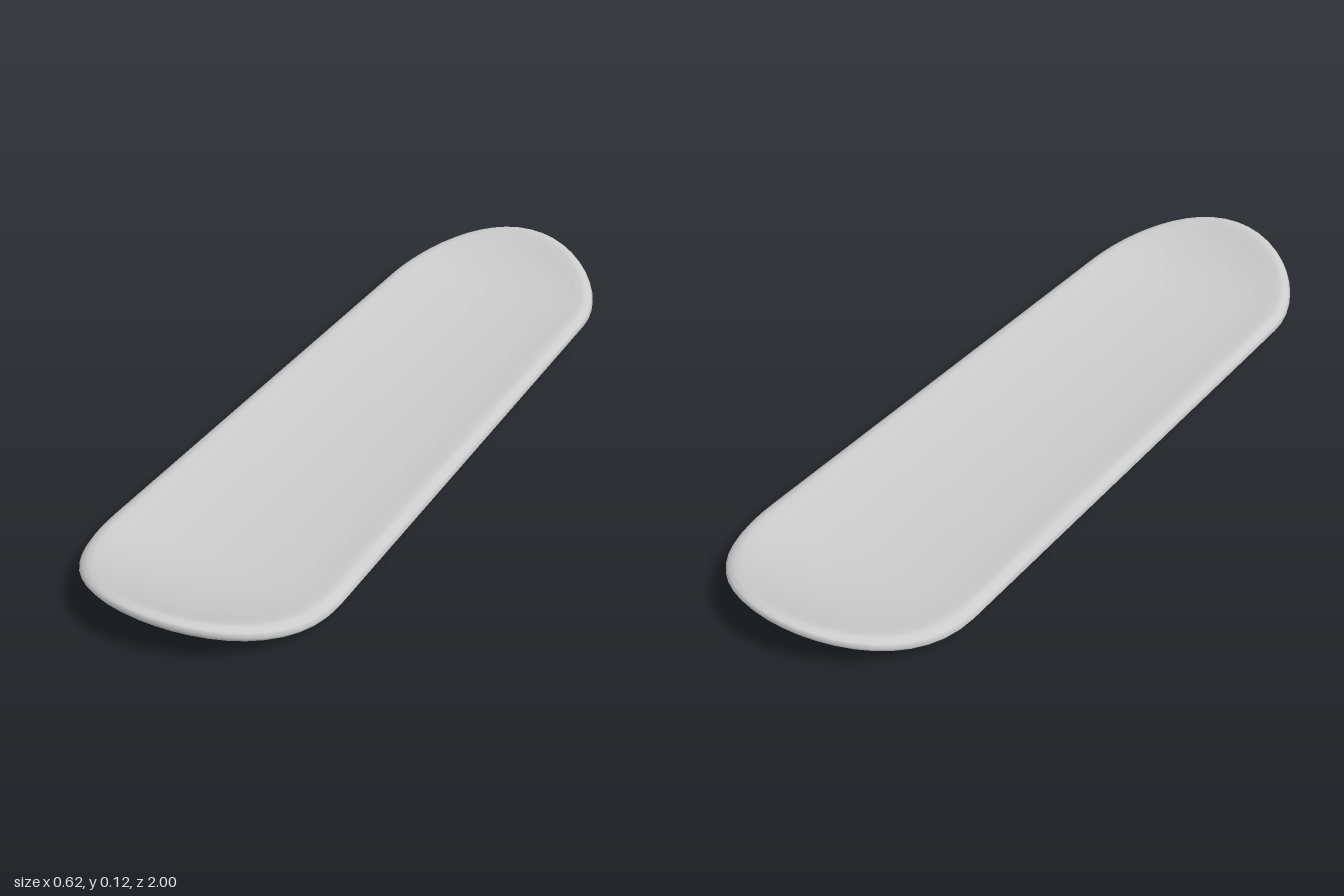
import * as THREE from 'three';
import { mergeVertices } from 'three/addons/utils/BufferGeometryUtils.js';

const HALF_W = 0.31;    // half width, and end-cap radius across
const STRAIGHT = 0.68;  // half length of the straight sides
const CAP = 0.32;       // end-cap radius along z
const ARC = 24;         // segments per rounded end

// Cross-section from the top spine, round the rim, to the bottom spine: [inset, height]
function crossSection() {
  const profile = [];
  const insets = [0.31, 0.25, 0.2, 0.15, 0.1, 0.06];
  const dish = (inset) => 0.027 * (1 - inset / HALF_W) ** 2;
  insets.forEach((d) => profile.push([d, 0.03 + dish(d)]));
  profile.push([0.035, 0.053], [0.02, 0.051], [0.007, 0.043], [0, 0.032],
    [0.008, 0.021], [0.02, 0.012], [0.034, 0.016]);
  insets.reverse().forEach((d) => profile.push([d, 0.001 + dish(d)]));
  return profile;
}

// Stadium outline shrunk by an inset, with both ends kicked upwards
function ring(inset, height) {
  const k = 1 - inset / HALF_W;
  const points = [];
  for (const end of [1, -1]) {
    for (let i = 0; i <= ARC; i++) {
      const a = (Math.PI * i) / ARC;
      const rise = k * Math.sin(a);
      points.push([end * k * HALF_W * Math.cos(a),
        height + 0.083 * rise * rise,
        end * (STRAIGHT + CAP * rise)]);
    }
    // Straight side
    for (let i = 1; i < 8; i++) {
      points.push([-end * k * HALF_W, height, end * STRAIGHT * (1 - i / 4)]);
    }
  }
  return points;
}

function deckGeometry() {
  const rings = crossSection().map(([d, y]) => ring(d, y));
  const n = rings[0].length;
  const index = [];
  for (let i = 0; i < rings.length - 1; i++) {
    for (let j = 0; j < n; j++) {
      const a = i * n + j, b = i * n + ((j + 1) % n);
      index.push(a, b, b + n, a, b + n, a + n);
    }
  }
  let geometry = new THREE.BufferGeometry();
  geometry.setAttribute('position', new THREE.Float32BufferAttribute(rings.flat(2), 3));
  geometry.setIndex(index);
  geometry = mergeVertices(geometry, 1e-5);
  geometry.computeVertexNormals();
  return geometry;
}

export function createModel() {
  const group = new THREE.Group();
  group.name = 'skateboardDeck';
  const deck = new THREE.Mesh(deckGeometry(), new THREE.MeshStandardMaterial({ color: 0xcccccc }));
  deck.name = 'deck';
  group.add(deck);
  return group;
}
